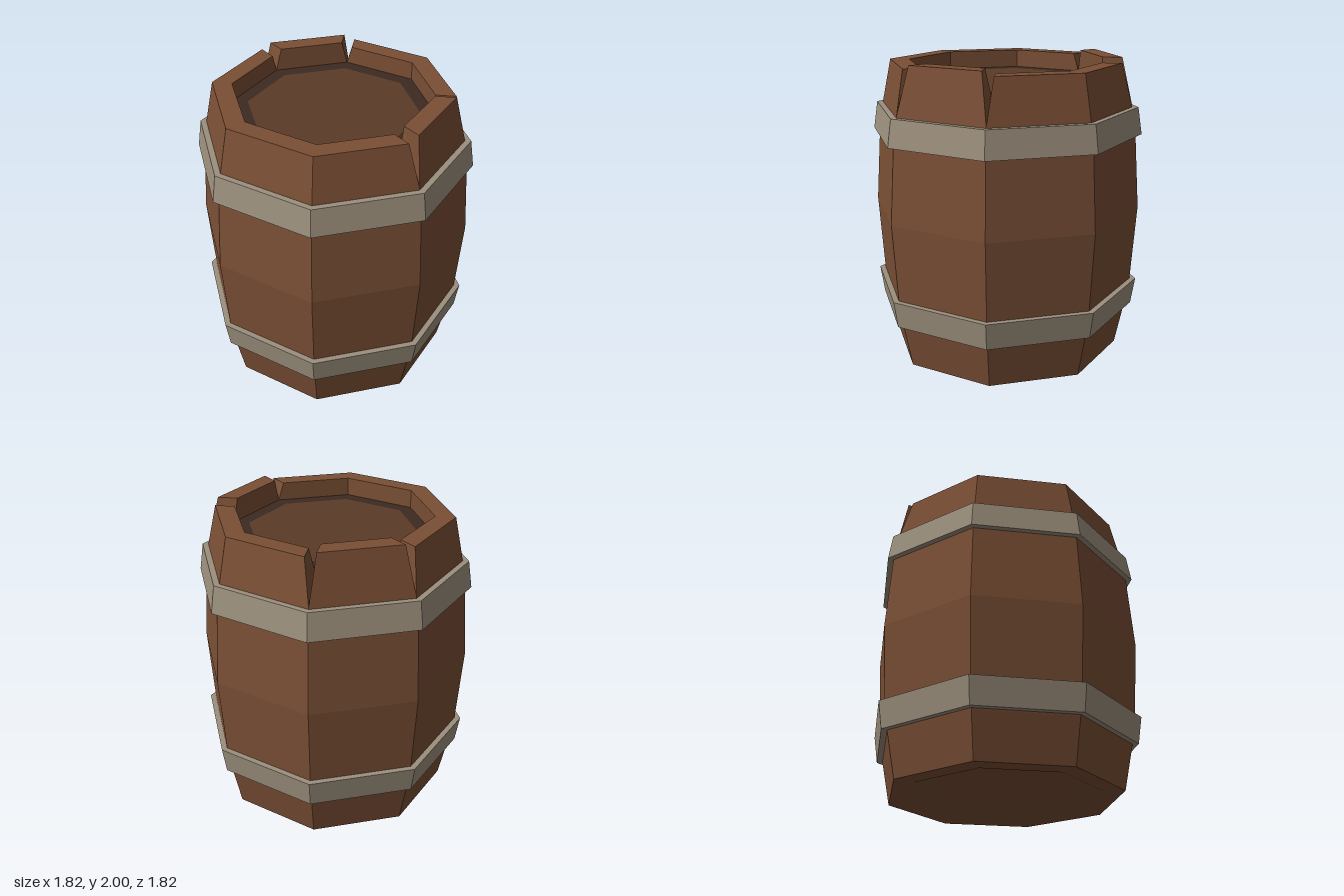
import * as THREE from 'three';

const SIDES = 8;
const LID_Y = 1.85;
const material = (color) => new THREE.MeshStandardMaterial({ color, flatShading: true });

// Octagonal solid of revolution, with corners on the x and z axes
function turned(name, profile, mat) {
  const points = profile.map(([r, y]) => new THREE.Vector2(r, y));
  const mesh = new THREE.Mesh(new THREE.LatheGeometry(points, SIDES), mat);
  mesh.name = name;
  return mesh;
}

// Upper end of one stave; a notched end leans away from its corner
function staveTop(index, topY, notchA, notchB, mat) {
  const corner = (k, r, y) => {
    const a = (k * Math.PI * 2) / SIDES;
    return new THREE.Vector3(r * Math.sin(a), y, r * Math.cos(a));
  };
  const along = corner(index + 1, 1, 0).sub(corner(index, 1, 0)).normalize();
  const section = (k, shift) => [
    corner(k, 0.84, 1.69),
    corner(k, 0.78, topY).addScaledVector(along, shift),
    corner(k, 0.65, topY).addScaledVector(along, shift),
    corner(k, 0.65, LID_Y),
  ];
  const A = section(index, notchA ? 0.038 : 0);
  const B = section(index + 1, notchB ? -0.038 : 0);

  const vertices = [];
  const quad = (a, b, c, d) => vertices.push(a, b, c, a, c, d);
  for (let i = 0; i < 3; i++) quad(A[i], B[i], B[i + 1], A[i + 1]);
  // End walls, also closing the step beside a raised stave
  quad(A[0], A[1], A[2], A[3]);
  quad(B[3], B[2], B[1], B[0]);

  const geometry = new THREE.BufferGeometry().setFromPoints(vertices);
  geometry.computeVertexNormals();
  const mesh = new THREE.Mesh(geometry, mat);
  mesh.name = 'staveTop' + (index + 1);
  return mesh;
}

export function createModel() {
  const barrel = new THREE.Group();
  barrel.name = 'barrel';
  const wood = material(0x7a4f35);
  const lidWood = material(0x5a3a27);
  const darkWood = material(0x3d2a20);
  const metal = material(0x9c907d);

  // Bulging body and the shallow recess underneath
  barrel.add(turned('body', [
    [0.78, 0], [0.84, 0.29], [0.87, 0.48], [0.905, 1], [0.87, 1.5], [0.84, 1.69],
  ], wood));
  barrel.add(turned('base', [[0, 0.06], [0.47, 0.06], [0.65, 0], [0.78, 0]], wood));

  // Rim of staves: two stand proud, with a notch on each side
  const notches = [1, 2, 4, 5];
  const raised = [1, 4];
  const rim = new THREE.Group();
  rim.name = 'rim';
  for (let i = 0; i < SIDES; i++) {
    const topY = raised.includes(i) ? 2 : 1.97;
    rim.add(staveTop(i, topY, notches.includes(i), notches.includes((i + 1) % SIDES), wood));
  }
  barrel.add(rim);

  // Sunken lid with a dark border
  barrel.add(turned('lidBorder', [[0.65, LID_Y], [0.555, LID_Y]], darkWood));
  barrel.add(turned('lid', [[0.555, LID_Y], [0, LID_Y]], lidWood));

  // Hoops, wider towards the middle of the barrel
  const hoop = [[0.83, 1.5], [0.91, 1.5], [0.882, 1.68], [0.83, 1.68]];
  barrel.add(turned('upperHoop', hoop, metal));
  const lower = hoop.map(([r, y]) => [r, 1.98 - y]).reverse();
  barrel.add(turned('lowerHoop', lower, metal));

  return barrel;
}
